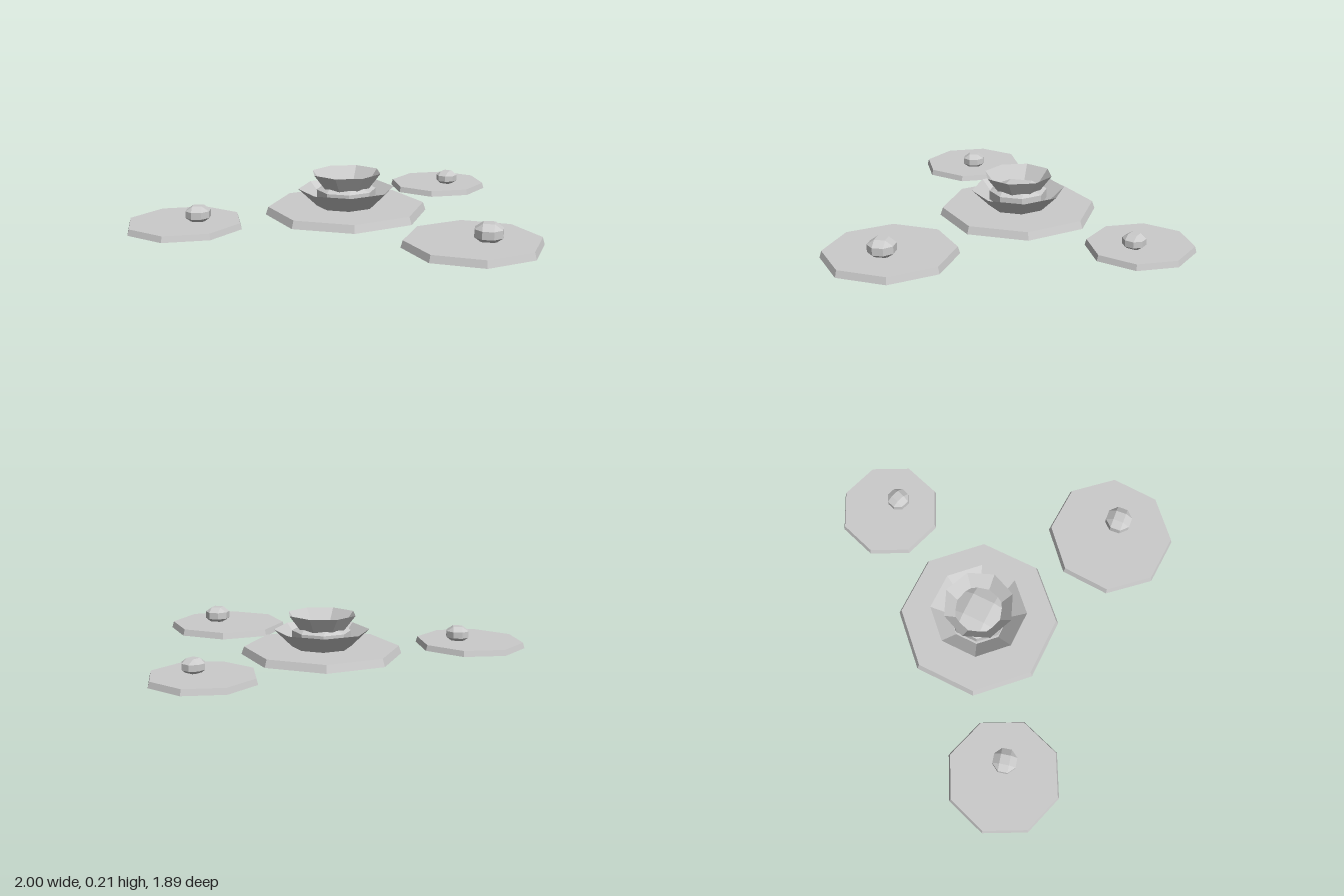
import * as THREE from 'three';
import { ConvexGeometry } from 'three/addons/geometries/ConvexGeometry.js';

const grey = new THREE.MeshStandardMaterial({ color: 0xcccccc, flatShading: true });
const thin = new THREE.MeshStandardMaterial({ color: 0xcccccc, flatShading: true, side: THREE.DoubleSide });

// Places an eight-sided ring; "corner" is the angle of one corner from +x towards +z
function octagon(name, rTop, rBottom, height, y, corner, open = false) {
  const geo = new THREE.CylinderGeometry(rTop, rBottom, height, 8, 1, open);
  const mesh = new THREE.Mesh(geo, open ? thin : grey);
  mesh.name = name;
  mesh.position.y = y + height / 2;
  mesh.rotation.y = THREE.MathUtils.degToRad(90 - corner);
  return mesh;
}

// Faceted ball with square top and octagonal outline, squashed in height
function facetedBall(name, radius, halfHeight, yaw) {
  const b = 1 + Math.SQRT2;
  const points = [];
  for (const x of [-1, 1]) for (const y of [-1, 1]) for (const z of [-1, 1]) {
    points.push(new THREE.Vector3(x * b, y, z), new THREE.Vector3(x, y * b, z), new THREE.Vector3(x, y, z * b));
  }
  const geo = new ConvexGeometry(points);
  geo.scale(radius / b, halfHeight / b, radius / b);
  const mesh = new THREE.Mesh(geo, grey);
  mesh.name = name;
  mesh.rotation.y = THREE.MathUtils.degToRad(yaw);
  return mesh;
}

export function createModel() {
  const model = new THREE.Group();
  model.name = 'waterLilies';

  // Large pad with the open flower
  const bloom = new THREE.Group();
  bloom.name = 'floweringPad';
  bloom.position.set(-0.126, 0, 0.067);
  bloom.add(octagon('largePad', 0.405, 0.419, 0.04, 0, 12.5));
  bloom.add(octagon('outerPetals', 0.249, 0.155, 0.09, 0.04, 12.5, true));
  bloom.add(octagon('innerPetals', 0.183, 0.12, 0.083, 0.13, 35, true));
  const heart = facetedBall('flowerCentre', 0.142, 0.06, 10);
  heart.position.y = 0.1;
  bloom.add(heart);
  model.add(bloom);

  // Small pads, each carrying one bud
  const pads = [
    { name: 'leftPad', x: 0.676, z: 0.363, r: 0.334, h: 0.035, corner: 15, bud: [0.749, 0.358, 0.065, 15] },
    { name: 'rightPad', x: -0.717, z: 0.658, r: 0.293, h: 0.03, corner: 30, bud: [-0.66, 0.623, 0.058, 25] },
    { name: 'backPad', x: 0.082, z: -0.69, r: 0.271, h: 0.03, corner: 30, bud: [0.144, -0.679, 0.054, -8] },
  ];
  for (const p of pads) {
    const group = new THREE.Group();
    group.name = p.name;
    const pad = octagon('pad', p.r * 0.97, p.r, p.h, 0, p.corner);
    pad.position.x = p.x;
    pad.position.z = p.z;
    const [bx, bz, br, yaw] = p.bud;
    const bud = facetedBall('bud', br, br * 0.7, yaw);
    bud.position.set(bx, p.h + br * 0.58, bz);
    group.add(pad, bud);
    model.add(group);
  }
  return model;
}
